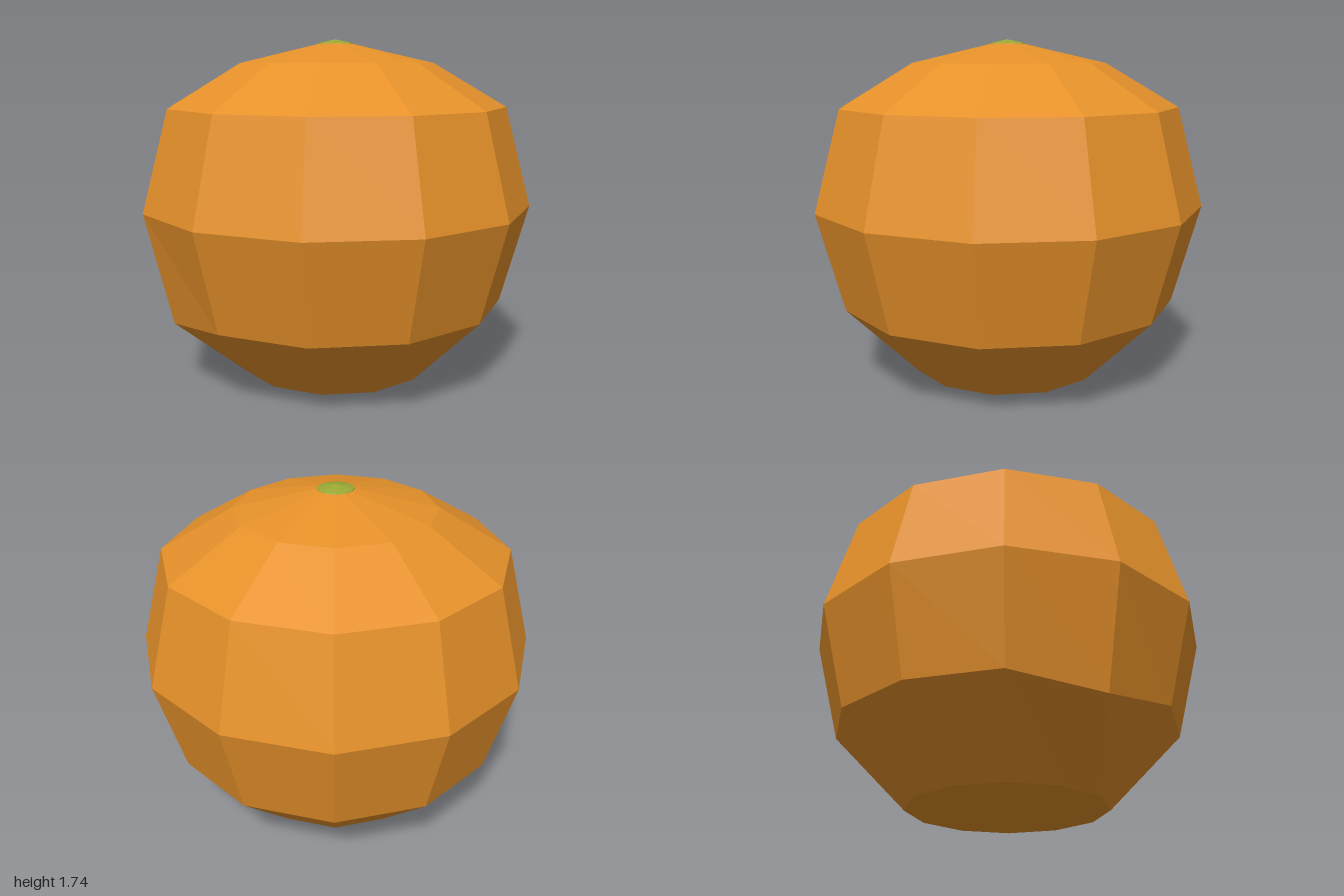
import * as THREE from 'three';

const SIDES = 12;
const TWIST = -0.1; // slight turn of the facets about the vertical axis

// Faceted lathe from [radius, y] pairs listed bottom to top
function facetedLathe(profile, edit) {
  const points = profile.map(([r, y]) => new THREE.Vector2(r, y));
  const lathe = new THREE.LatheGeometry(points, SIDES, TWIST);
  if (edit) edit(lathe.attributes.position, points.length);
  const flat = lathe.toNonIndexed();
  flat.computeVertexNormals();
  return flat;
}

export function createModel() {
  const orange = new THREE.MeshStandardMaterial({ color: 0xe6912a });
  orange.name = 'orange skin';
  const green = new THREE.MeshStandardMaterial({ color: 0x9aa833 });
  green.name = 'stem green';

  const model = new THREE.Group();
  model.name = 'fruit';

  // Body: squat faceted globe, with one corner of the lower ring dented down
  const body = new THREE.Mesh(facetedLathe([
    [0, 0], [0.5, 0.035], [0.866, 0.405], [1, 0.905],
    [0.866, 1.405], [0.5, 1.622], [0, 1.738],
  ], (position, rings) => position.setY(10 * rings + 2, 0.34)), orange);
  body.name = 'body';

  // Stem scar: thin cap lying on the crown
  const stem = new THREE.Mesh(facetedLathe([[0.092, 1.717], [0.09, 1.721], [0, 1.741]]), green);
  stem.name = 'stemScar';

  model.add(body, stem);
  return model;
}
